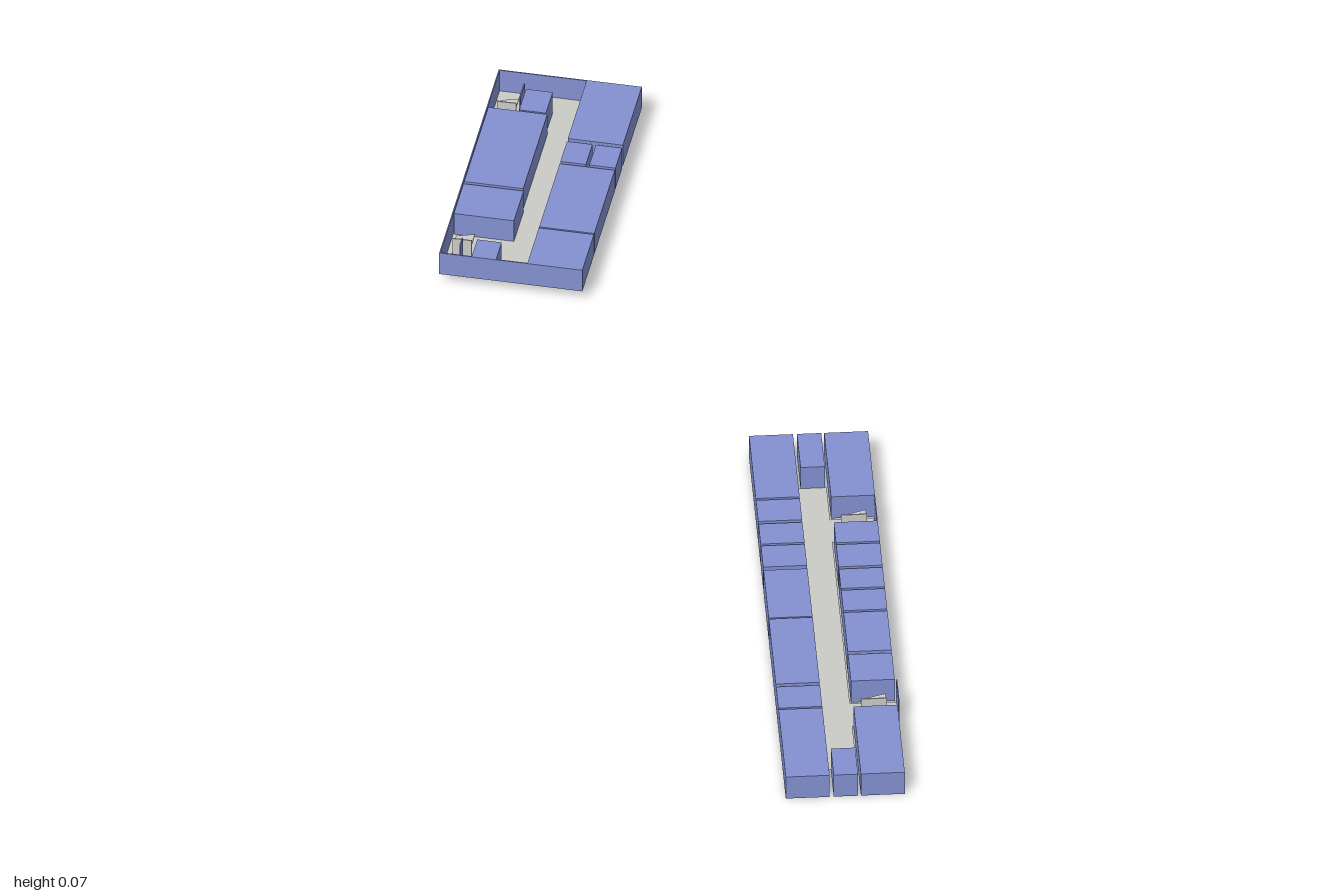
import * as THREE from 'three';

const blue = new THREE.MeshStandardMaterial({ color: 0x8391d1, side: THREE.DoubleSide });
blue.name = 'room blue';
const grey = new THREE.MeshStandardMaterial({ color: 0xcbcbc7, side: THREE.DoubleSide });
grey.name = 'floor grey';

// Adds a block spanning x0..x1, z0..z1, y0..y1
function block(parent, name, material, [x0, x1], [z0, z1], [y0, y1], geometry) {
  const geo = geometry || new THREE.BoxGeometry(1, 1, 1);
  const mesh = new THREE.Mesh(geo, material);
  mesh.scale.set(x1 - x0, y1 - y0, z1 - z0);
  mesh.position.set((x0 + x1) / 2, (y0 + y1) / 2, (z0 + z1) / 2);
  mesh.name = name;
  parent.add(mesh);
  return mesh;
}

// Hollow room: walls and ceiling, open underneath
function room(parent, xs, zs, ys) {
  const geo = new THREE.BoxGeometry(1, 1, 1);
  const index = Array.from(geo.index.array);
  index.splice(18, 6);
  geo.setIndex(index);
  geo.clearGroups();
  return block(parent, 'room', blue, xs, zs, ys, geo);
}

// Stair: sloping flight beside a low landing
function stair(parent, [x0, x1], [z0, z1], h) {
  const flight = block(parent, 'stairFlight', grey, [x0, x1], [z0, z0 + (z1 - z0) * 0.45], [h * 0.45, h * 0.45 + 0.002]);
  flight.rotation.z = 0.25;
  block(parent, 'stairDivider', grey, [x0, x1], [(z0 + z1) / 2, (z0 + z1) / 2 + 0.002], [0.001, h * 0.8]);
}

function longBlock() {
  const g = new THREE.Group();
  g.name = 'longBlock';
  const h = [0, 0.047];
  const left = [[0.035, 0.212], [0.217, 0.277], [0.284, 0.341], [0.346, 0.406],
    [0.415, 0.55], [0.553, 0.737], [0.745, 0.805], [0.809, 1]];
  const middle = [[0.035, 0.13], [0.925, 1]];
  const right = [[0.035, 0.216], [0.288, 0.346], [0.351, 0.414], [0.42, 0.475],
    [0.48, 0.538], [0.543, 0.654], [0.662, 0.737], [0.809, 1]];
  left.forEach(z => room(g, [0.145, 0.221], z, h));
  middle.forEach(z => room(g, [0.228, 0.27], z, h));
  right.forEach(z => room(g, [0.275, 0.351], z, h));
  block(g, 'corridorFloor', grey, [0.223, 0.273], [0.13, 0.925], [0, 0.001]);
  // Stairwells on the right side, each with floor and outer wall
  [[0.221, 0.284, 0.351], [0.741, 0.805, 0.355]].forEach(([z0, z1, x1]) => {
    block(g, 'stairwellFloor', grey, [0.273, x1], [z0, z1], [0, 0.001]);
    block(g, 'stairwellWall', blue, [x1 - 0.002, x1], [z0, z1], [0, 0.05]);
    stair(g, [0.29, 0.335], [z0 + 0.01, z1 - 0.01], 0.045);
  });
  return g;
}

function shortBlock() {
  const g = new THREE.Group();
  g.name = 'shortBlock';
  const W = 0.252, L = 0.528, h = [0, 0.046];

  // Rooms of the open-bottomed side
  [[0, 0.168], [0.24, 0.422], [0.425, L]].forEach(z => room(g, [0.155, W], z, h));
  room(g, [0.155, 0.2], [0.176, 0.234], h);
  room(g, [0.206, W], [0.176, 0.234], h);

  // Rooms standing on the corridor side
  room(g, [0.057, 0.104], [0.045, 0.105], h);
  room(g, [0.003, 0.107], [0.108, 0.322], h);
  room(g, [0.003, 0.109], [0.328, 0.414], h);
  room(g, [0.057, 0.1], [0.478, L], h);

  // Floor with an opening under one room
  const shape = new THREE.Shape([[0, 0], [0.155, 0], [0.155, L], [0, L]].map(p => new THREE.Vector2(...p)));
  shape.holes.push(new THREE.Path([[0.005, 0.33], [0.005, 0.412], [0.107, 0.412], [0.107, 0.33]].map(p => new THREE.Vector2(...p))));
  const geo = new THREE.ExtrudeGeometry(shape, { depth: 0.001, bevelEnabled: false });
  geo.rotateX(Math.PI / 2);
  geo.translate(0, 0.001, 0);
  const floor = new THREE.Mesh(geo, grey);
  floor.name = 'corridorFloor';
  g.add(floor);

  // Thin outer walls
  block(g, 'sideWall', blue, [0, 0.002], [0, L], h);
  block(g, 'endWall', blue, [0, 0.155], [0, 0.002], h);
  block(g, 'endWall', blue, [0, 0.155], [L - 0.002, L], h);

  // Stairs in the two corners
  stair(g, [0.012, 0.046], [0.05, 0.1], 0.046);
  stair(g, [0.012, 0.046], [0.44, 0.5], 0.046);
  block(g, 'stairWall', blue, [0.05, 0.052], [0.03, 0.07], h);
  block(g, 'stairWall', blue, [0.03, 0.032], [0.478, 0.5], h);

  g.rotation.y = -Math.PI / 12;
  g.position.set(-0.22, 0.021, -1);
  return g;
}

export function createModel() {
  const model = new THREE.Group();
  model.name = 'buildingBlocks';
  model.add(longBlock(), shortBlock());
  return model;
}
